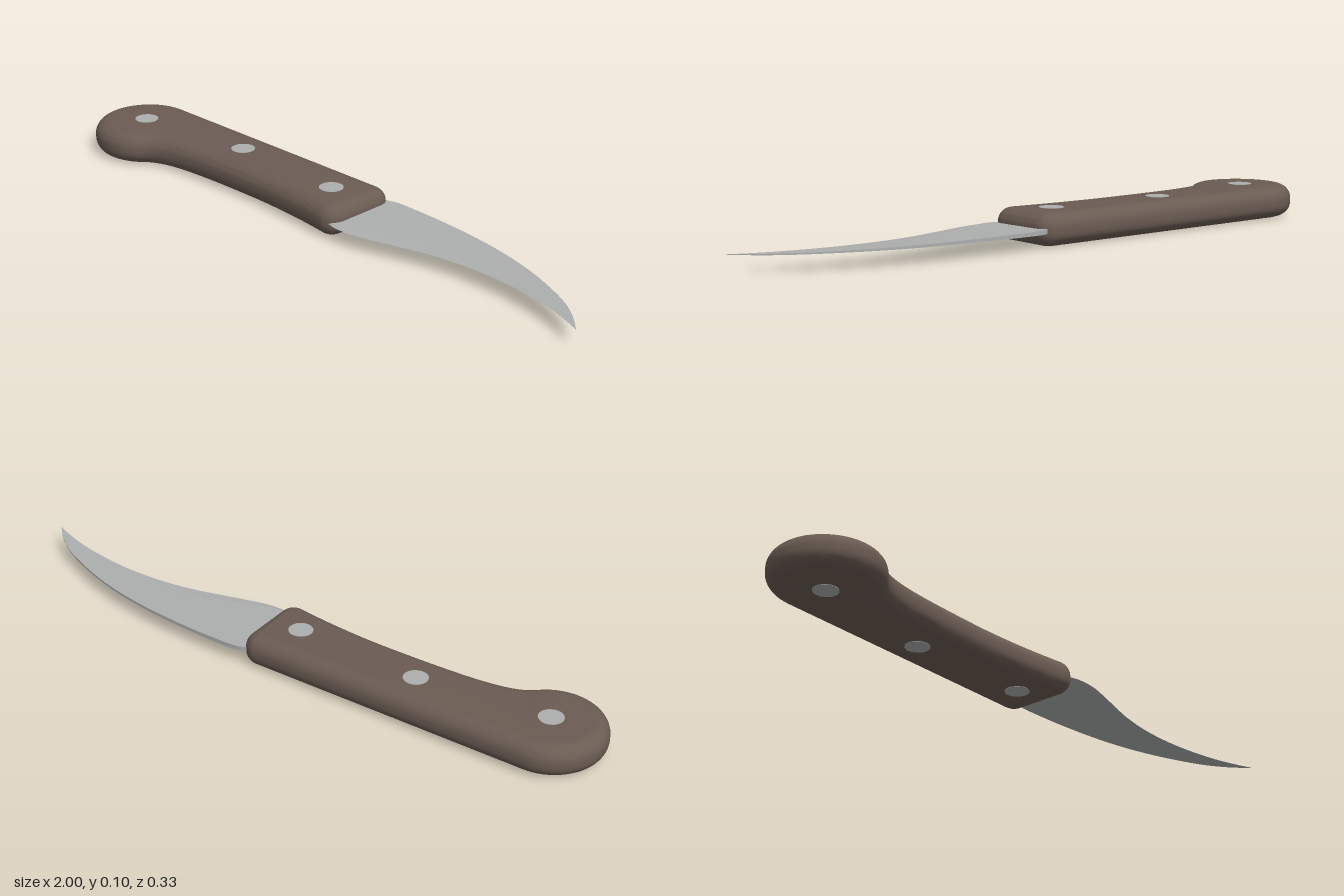
import * as THREE from 'three';
import { toCreasedNormals } from 'three/addons/utils/BufferGeometryUtils.js';

const MID = 0.0485; // height of the knife's middle plane
const ROUND = 0.043; // radius of the handle's rounded edges

const wood = new THREE.MeshStandardMaterial({ name: 'brown wood', color: 0x6b5c53 });
const steel = new THREE.MeshStandardMaterial({ name: 'grey steel', color: 0xadafae });

function addPart(group, name, geometry, material) {
  const mesh = new THREE.Mesh(geometry, material);
  mesh.name = name;
  group.add(mesh);
  return mesh;
}

// Handle: inner outline in x and z, swollen by a round bevel
function handleGeometry() {
  const s = new THREE.Shape();
  s.moveTo(0.049, -0.122);
  s.lineTo(-0.84, -0.122);
  s.absarc(-0.84, -0.002, 0.12, -Math.PI / 2, Math.PI / 4, true); // round butt
  s.bezierCurveTo(-0.70, 0.03, -0.60, 0.017, -0.3, 0.017); // finger hollow
  s.bezierCurveTo(-0.18, 0.017, -0.06, 0.028, 0.049, 0.044);
  s.quadraticCurveTo(0.057, 0.045, 0.057, 0.037);
  s.lineTo(0.057, -0.114);
  s.quadraticCurveTo(0.057, -0.122, 0.049, -0.122);
  const depth = 2 * (MID - ROUND);
  const g = new THREE.ExtrudeGeometry(s, {
    depth, curveSegments: 20, bevelEnabled: true,
    bevelSize: ROUND, bevelThickness: ROUND, bevelSegments: 8,
  });
  g.translate(0, 0, -depth / 2);
  g.rotateX(Math.PI / 2);
  g.translate(0, MID, 0);
  return toCreasedNormals(g, 0.6);
}

// Blade: five-sided sections lofted from base to tip
function bladeGeometry() {
  // x, spine z, grind line z, cutting edge z
  const stations = [
    [0.08, -0.150, 0.070, 0.080], [0.12, -0.162, 0.078, 0.088], [0.19, -0.164, 0.066, 0.084],
    [0.30, -0.160, 0.026, 0.056], [0.41, -0.151, -0.012, 0.027], [0.52, -0.136, -0.034, 0.010],
    [0.63, -0.112, -0.038, 0.006], [0.74, -0.077, -0.024, 0.014], [0.86, -0.025, 0.010, 0.036],
    [0.94, 0.027, 0.046, 0.061], [1.00, 0.084, 0.0845, 0.085],
  ];
  const [spine, grind, edge] = [1, 2, 3].map(
    (k) => new THREE.SplineCurve(stations.map((p) => new THREE.Vector2(p[0], p[k]))));
  const N = 50;
  const pos = [];
  const idx = [];
  for (let i = 0; i <= N; i++) {
    const t = i / N;
    const a = spine.getPoint(t), b = grind.getPoint(t), c = edge.getPoint(t);
    const h = 0.0065 * (1 - t) + 0.0008; // half thickness of the spine
    const m = h * 0.5;
    pos.push(a.x, MID + h, a.y, b.x, MID + m, b.y, c.x, MID, c.y,
      b.x, MID - m, b.y, a.x, MID - h, a.y);
    if (i === N) break;
    for (let j = 0; j < 5; j++) {
      const p = i * 5 + j, q = i * 5 + (j + 1) % 5;
      idx.push(p, q, p + 5, q, q + 5, p + 5);
    }
  }
  for (let j = 1; j < 4; j++) {
    idx.push(0, j + 1, j); // base cap
    idx.push(N * 5, N * 5 + j, N * 5 + j + 1); // tip cap
  }
  const g = new THREE.BufferGeometry();
  g.setAttribute('position', new THREE.Float32BufferAttribute(pos, 3));
  g.setIndex(idx);
  return toCreasedNormals(g, 0.03);
}

export function createModel() {
  const knife = new THREE.Group();
  knife.name = 'knife';
  addPart(knife, 'handle', handleGeometry(), wood);
  addPart(knife, 'blade', bladeGeometry(), steel);

  // Rivets pass through the handle and show on both faces
  const rivetGeometry = new THREE.CylinderGeometry(0.037, 0.037, 2 * MID + 0.002, 20);
  for (const [x, z] of [[-0.84, -0.003], [-0.435, -0.053], [-0.028, -0.036]]) {
    addPart(knife, 'rivet', rivetGeometry, steel).position.set(x, MID, z);
  }
  return knife;
}
